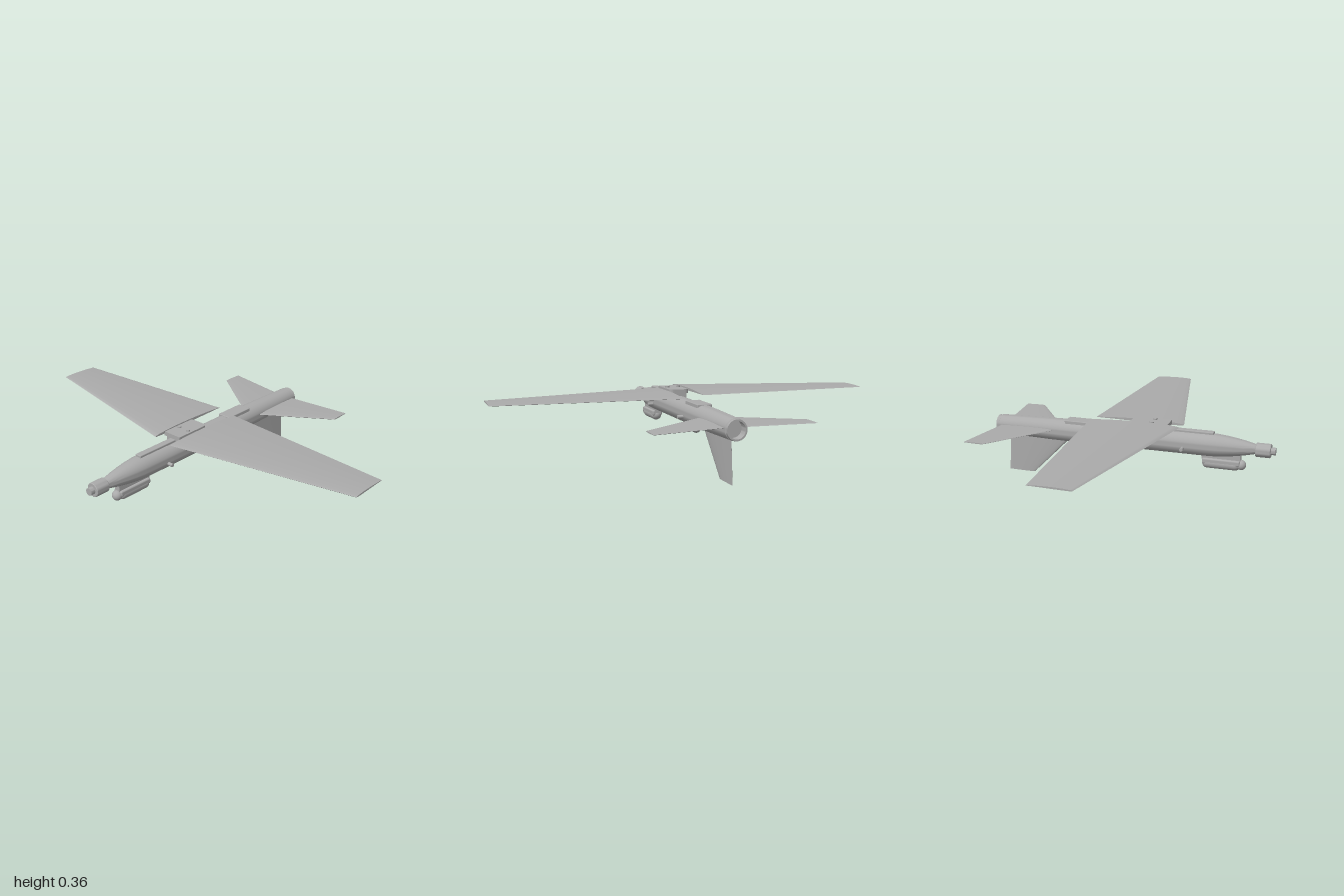
import * as THREE from 'three';
import { toCreasedNormals } from 'three/addons/utils/BufferGeometryUtils.js';
import { RoundedBoxGeometry } from 'three/addons/geometries/RoundedBoxGeometry.js';

const AXIS_Y = 0.26;

// Tapered foil: chord along x, thickness along y, span along z.
// Each end is { z, le, te, t, y } = span position, leading/trailing x, thickness, height.
function foilGeometry(root, tip, camber = 0) {
  const n = 14, pos = [], idx = [];
  const ring = [];
  for (let i = 0; i <= n; i++) ring.push([(1 - Math.cos((Math.PI * i) / n)) / 2, 1]);
  for (let i = n - 1; i > 0; i--) ring.push([(1 - Math.cos((Math.PI * i) / n)) / 2, -1]);
  for (const e of [root, tip]) {
    for (const [u, s] of ring) {
      const half = 1.3 * Math.sqrt(u) * (1 - u) * (e.t / 2) + 0.0008;
      pos.push(e.le + (e.te - e.le) * u, e.y + s * half + camber * e.t * 4 * u * (1 - u), e.z);
    }
  }
  const m = ring.length;
  for (let i = 0; i < m; i++) {
    const j = (i + 1) % m;
    idx.push(i, m + i, m + j, i, m + j, j);
    if (i > 0 && i < m - 1) idx.push(0, i, j, m, m + j, m + i);
  }
  const g = new THREE.BufferGeometry();
  g.setAttribute('position', new THREE.Float32BufferAttribute(pos, 3));
  g.setIndex(idx);
  return toCreasedNormals(g, 0.7);
}

// Turned shape along x from [x, radius] pairs
function turned(points, segments = 40) {
  const g = new THREE.LatheGeometry(points.map(([x, r]) => new THREE.Vector2(r, x)), segments);
  g.rotateZ(-Math.PI / 2);
  return toCreasedNormals(g, 0.5);
}

export function createModel() {
  const model = new THREE.Group();
  model.name = 'glider';
  const grey = new THREE.MeshStandardMaterial({ color: 0xaaaaaa });
  grey.name = 'grey';
  const add = (name, geometry, x = 0, y = 0, z = 0) => {
    const mesh = new THREE.Mesh(geometry, grey);
    mesh.name = name;
    mesh.position.set(x, y, z);
    model.add(mesh);
    return mesh;
  };

  // Fuselage with ogive nose and hollow tail
  add('fuselage', turned([
    [-0.68, 0], [-0.68, 0.021], [-0.65, 0.029], [-0.61, 0.038], [-0.56, 0.047], [-0.51, 0.054],
    [-0.46, 0.0585], [-0.41, 0.06], [0.35, 0.06], [0.45, 0.0585], [0.6, 0.055], [0.728, 0.052],
    [0.73, 0.049], [0.748, 0.049], [0.748, 0.041], [0.7, 0.041], [0.7, 0],
  ]), 0, AXIS_Y);

  // Nose sensor
  add('noseSensor', turned([
    [-0.765, 0], [-0.765, 0.019], [-0.742, 0.019], [-0.742, 0.033], [-0.739, 0.036],
    [-0.669, 0.036], [-0.666, 0.033], [-0.666, 0],
  ], 32), 0, 0.257);

  // Wings, one set slightly above the other
  const wing = (z, y, t, le, te) => ({ z, y, t, le, te });
  add('leftWing', foilGeometry(
    wing(0.05, 0.333, 0.03, -0.28, 0.2), wing(1, 0.331, 0.014, -0.08, 0.13), 0.15));
  const rightWing = add('rightWing', foilGeometry(
    wing(0.05, -0.349, 0.03, -0.28, 0.2), wing(1, -0.346, 0.014, -0.08, 0.13), -0.15));
  rightWing.rotation.x = Math.PI;

  // Wing mount and its pivot bolts
  add('wingMountBase', new THREE.BoxGeometry(0.19, 0.04, 0.08), -0.115, 0.318, 0);
  const plate = new THREE.Shape();
  plate.moveTo(-0.215, -0.053);
  plate.lineTo(-0.04, -0.053);
  plate.quadraticCurveTo(-0.015, -0.053, -0.015, -0.03);
  plate.lineTo(-0.015, 0.03);
  plate.quadraticCurveTo(-0.015, 0.053, -0.04, 0.053);
  plate.lineTo(-0.215, 0.053);
  const plateGeometry = new THREE.ExtrudeGeometry(plate, { depth: 0.022, bevelEnabled: false });
  plateGeometry.rotateX(-Math.PI / 2);
  add('wingMountPlate', plateGeometry, 0, 0.333, 0);
  for (const z of [-0.03, 0.03]) {
    add('pivotBolt', new THREE.CylinderGeometry(0.011, 0.011, 0.008, 16), -0.13, 0.358, z);
  }

  // Dorsal rails ahead of and behind the wing
  add('frontRail', new RoundedBoxGeometry(0.25, 0.04, 0.036, 2, 0.004), -0.325, 0.309, 0);
  add('rearRail', new RoundedBoxGeometry(0.17, 0.03, 0.076, 2, 0.004), 0.265, 0.309, 0);

  // Tailplanes and ventral fin
  const tailRoot = { z: 0.04, le: 0.4, te: 0.715, t: 0.022, y: 0.268 };
  const tailTip = { z: 0.39, le: 0.65, te: 0.76, t: 0.008, y: 0.263 };
  add('leftTailplane', foilGeometry(tailRoot, tailTip));
  const rightTail = add('rightTailplane', foilGeometry(
    { ...tailRoot, y: -0.268 }, { ...tailTip, y: -0.274 }));
  rightTail.rotation.x = Math.PI;
  const fin = add('ventralFin', foilGeometry(
    { z: -0.22, le: 0.33, te: 0.684, t: 0.024, y: 0 },
    { z: 0, le: 0.55, te: 0.7, t: 0.012, y: 0 }));
  fin.rotation.x = Math.PI / 2;

  // Chin pod with pylon and round lens
  add('podPylon', new THREE.BoxGeometry(0.2, 0.06, 0.03), -0.492, 0.215, 0);
  const pod = new THREE.CapsuleGeometry(0.029, 0.142, 8, 28);
  pod.rotateZ(Math.PI / 2);
  add('chinPod', pod, -0.492, 0.164, 0);
  add('podBody', new RoundedBoxGeometry(0.195, 0.03, 0.056, 3, 0.008), -0.493, 0.177, 0);
  add('podLens', new THREE.SphereGeometry(0.026, 24, 16), -0.594, 0.167, 0);

  // Belly dome
  add('bellyDome', new THREE.SphereGeometry(0.025, 24, 16), 0.233, 0.19, 0);

  // Side pegs
  for (const x of [-0.3, 0.197]) {
    const peg = new THREE.CylinderGeometry(0.009, 0.009, 0.174, 16);
    peg.rotateX(Math.PI / 2);
    add('sidePegs', peg, x, 0.244, 0);
  }
  return model;
}
